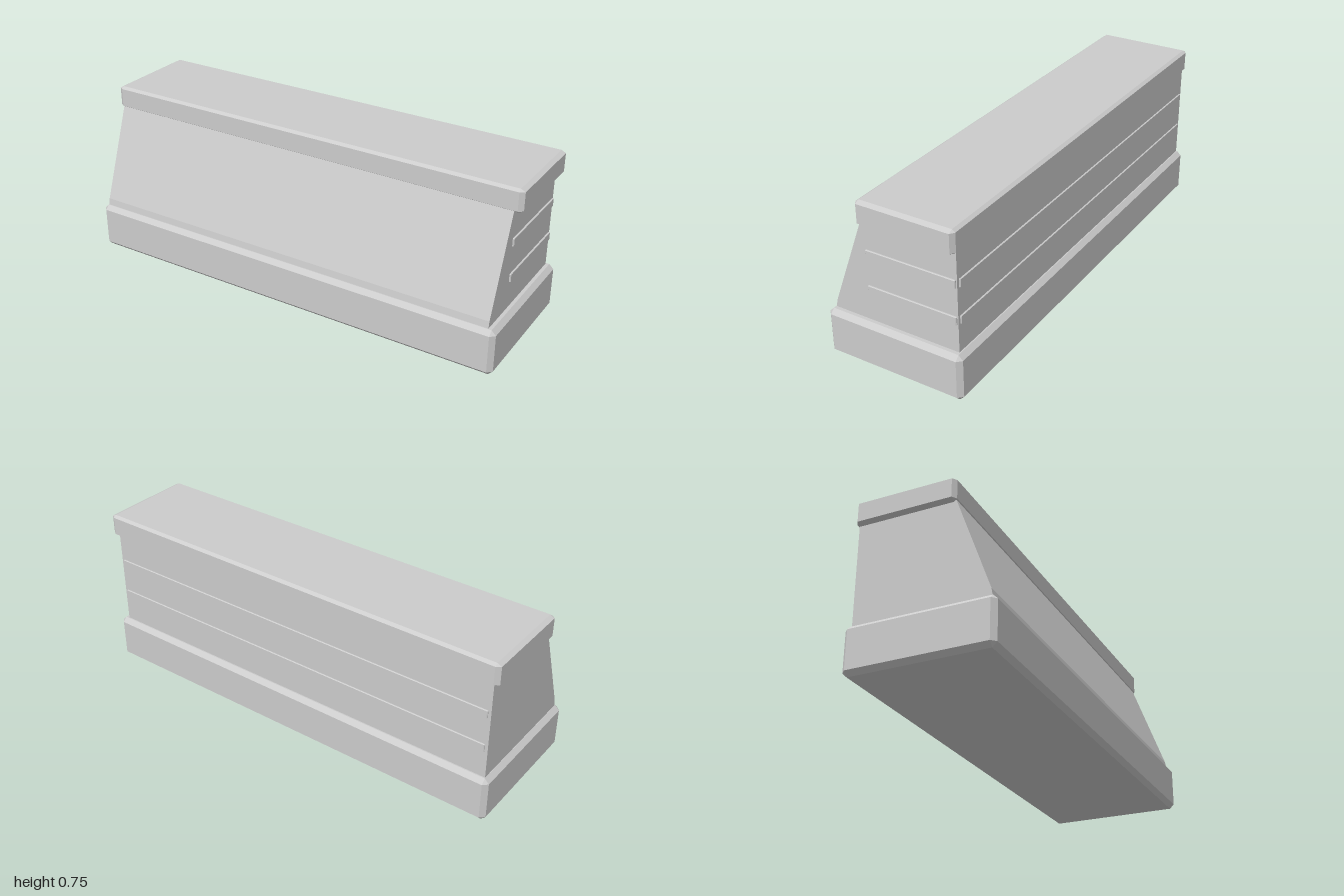
import * as THREE from 'three';
import { ConvexGeometry } from 'three/addons/geometries/ConvexGeometry.js';

const material = new THREE.MeshStandardMaterial({ color: 0xcccccc, flatShading: true });

// Box between two corners with every edge chamfered by (bx, by, bz)
function chamferBox(name, min, max, [bx, by, bz]) {
  const points = [];
  const c = min.map((v, i) => (v + max[i]) / 2);
  const h = min.map((v, i) => (max[i] - v) / 2);
  for (const sx of [-1, 1]) for (const sy of [-1, 1]) for (const sz of [-1, 1]) {
    const add = (x, y, z) => points.push(new THREE.Vector3(c[0] + sx * x, c[1] + sy * y, c[2] + sz * z));
    add(h[0], h[1] - by, h[2] - bz);
    add(h[0] - bx, h[1], h[2] - bz);
    add(h[0] - bx, h[1] - by, h[2]);
  }
  const mesh = new THREE.Mesh(new ConvexGeometry(points), material);
  mesh.name = name;
  return mesh;
}

export function createModel() {
  const group = new THREE.Group();
  group.name = 'barrier';

  // Plinth and overhanging top slab
  group.add(chamferBox('base', [-1, 0, -0.316], [1, 0.208, 0.316], [0.02, 0.02, 0.02]));
  group.add(chamferBox('cap', [-1, 0.645, -0.302], [1, 0.747, 0.138], [0.02, 0.01, 0.014]));

  // Body with sloping front, as a [z, y] profile swept along x
  const profile = [[-0.291, 0.19], [0.293, 0.19], [0.293, 0.208], [0.288, 0.238],
    [0.133, 0.655], [0.12, 0.67], [-0.291, 0.67]];
  const shape = new THREE.Shape(profile.map(([z, y]) => new THREE.Vector2(-z, y)));
  const bodyGeometry = new THREE.ExtrudeGeometry(shape, { depth: 1.943, bevelEnabled: false });
  bodyGeometry.rotateY(Math.PI / 2).translate(-0.978, 0, 0);
  const body = new THREE.Mesh(bodyGeometry, material);
  body.name = 'body';
  group.add(body);

  // Two raised strips on the left end and along the back
  for (const y of [0.33, 0.49]) {
    group.add(chamferBox('endStrip', [0.955, y, -0.286], [0.972, y + 0.037, 0.122], [0.003, 0.002, 0.003]));
    group.add(chamferBox('backStrip', [-0.965, y, -0.297], [0.953, y + 0.037, -0.28], [0.003, 0.002, 0.003]));
  }
  return group;
}
